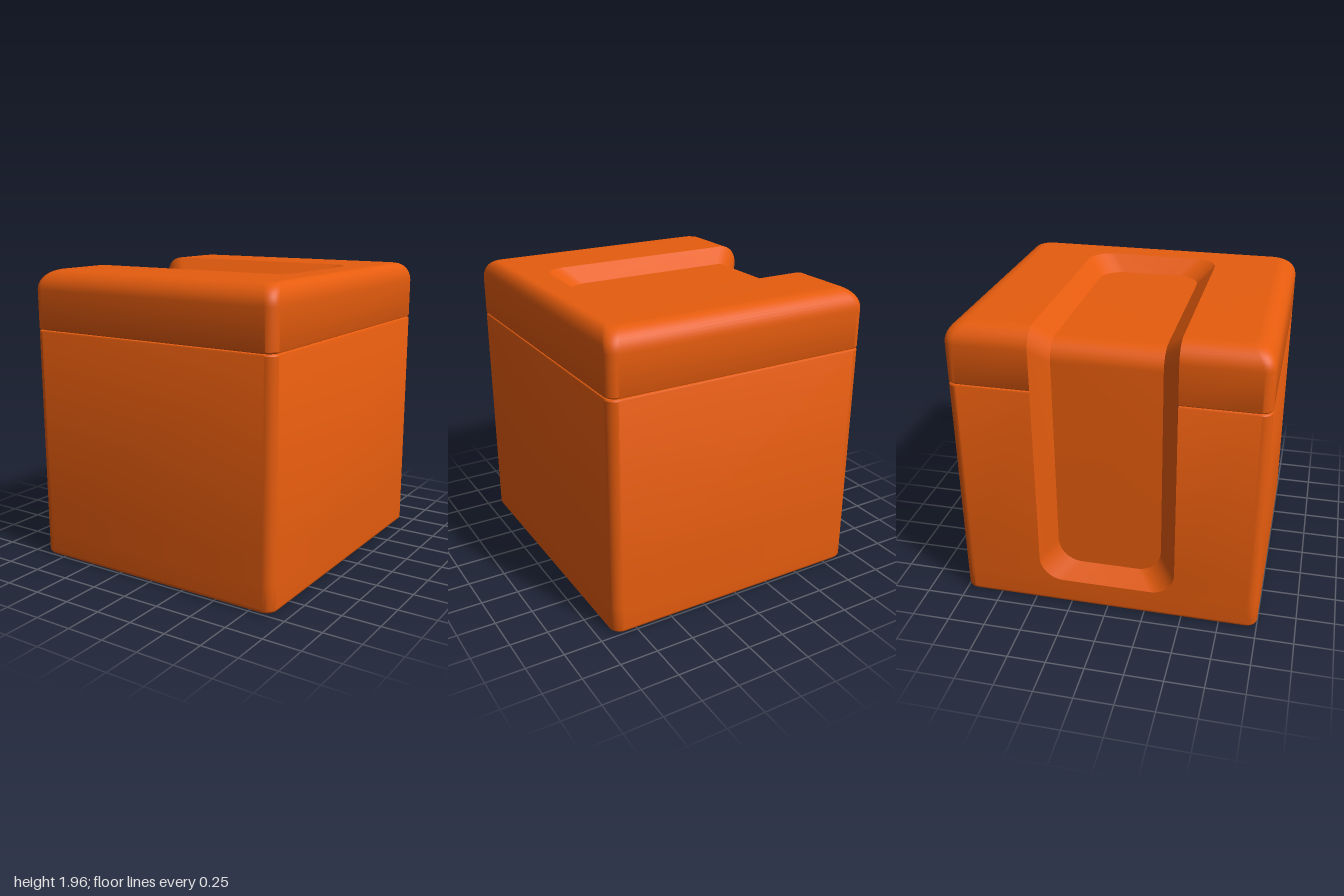
import * as THREE from 'three';
import { toCreasedNormals, mergeGeometries } from 'three/addons/utils/BufferGeometryUtils.js';

const X = 0.91, Z = 1, TOP = 1.96, SEAM = 1.568, CORNER = 0.07;
const ZC = -0.005;   // centre line of the recess
const N = 10;        // segments per quarter round
const steps = Array.from({ length: N + 1 }, (_, i) => (i / N) * Math.PI / 2);
const V = (x, y, z) => new THREE.Vector3(x, y, z);

// Skin between successive point rows of equal length
function loft(rows, closed = false) {
  const n = rows[0].length, pos = rows.flat().flatMap(p => [p.x, p.y, p.z]), index = [];
  for (let r = 0; r < rows.length - 1; r++) {
    for (let i = 0; i < (closed ? n : n - 1); i++) {
      const j = (i + 1) % n, a = r * n + i, b = r * n + j;
      index.push(a, b, b + n, a, b + n, a + n);
    }
  }
  const geo = new THREE.BufferGeometry();
  geo.setAttribute('position', new THREE.Float32BufferAttribute(pos, 3));
  geo.setIndex(index);
  return geo;
}

// Horizontal section of the block, left open by half width hw on the -x side
function section(y, hw, inX0 = 0, inX1 = inX0, inZ = inX0) {
  const x0 = -X + inX0, x1 = X - inX1, z1 = Z - inZ, r = CORNER;
  const pts = [V(x0, y, ZC + hw)];
  const corners = [[x0 + r, z1 - r], [x1 - r, z1 - r], [x1 - r, r - z1], [x0 + r, r - z1]];
  corners.forEach(([cx, cz], k) => {
    for (const s of steps) {
      const a = Math.PI - k * Math.PI / 2 - s;
      pts.push(V(cx + r * Math.cos(a), y, cz + r * Math.sin(a)));
    }
  });
  pts.push(V(x0, y, ZC - hw));
  return pts;
}

// Half outline of the recess: along the top, over the edge and down the -x side
function rail(half, top, x0, xEnd, yEnd, r = 0.16, edge = 0.13) {
  const end = steps.map(a => V(xEnd - r + r * Math.cos(a), top, half - r + r * Math.sin(a)));
  const over = steps.map(a => V(x0 + edge * (1 - Math.sin(a)), top - edge * (1 - Math.cos(a)), half));
  const foot = steps.map(a => V(x0, yEnd + r * (1 - Math.sin(a)), half - r + r * Math.cos(a)));
  return { end, over, foot, all: [...end, ...over, ...foot] };
}
const side = (pts, s) => pts.map(p => V(p.x, p.y, ZC + s * p.z));
const ring = pts => [...side(pts, 1), ...side(pts, -1).reverse()];

// Flat horizontal face through an outline, facing up (dir 1) or down (dir -1)
function cap(pts, dir) {
  const shape = new THREE.Shape(pts.map(p => new THREE.Vector2(p.x, -dir * p.z)));
  return new THREE.ShapeGeometry(shape).rotateX(-dir * Math.PI / 2).translate(0, pts[0].y, 0);
}

export function createModel() {
  const group = new THREE.Group();
  const material = new THREE.MeshStandardMaterial({ color: 0xe65c0e });
  const add = (name, geos) => {
    const parts = geos.map(g => {
      const p = g.toNonIndexed();
      p.deleteAttribute('uv');
      p.deleteAttribute('normal');
      return p;
    });
    const mesh = new THREE.Mesh(toCreasedNormals(mergeGeometries(parts), 0.5), material);
    mesh.name = name;
    group.add(mesh);
  };

  const HALF = 0.455;
  const outer = rail(HALF, TOP, -X, 0.67, 0.18);
  const inner = rail(0.348, TOP - 0.1, -X + 0.1, 0.56, 0.28);

  // Body: softened base, sides following the recess foot, shallow seam at the top
  const base = steps.map(a => section(0.03 * (1 - Math.cos(a)), 0, 0.03 * (1 - Math.sin(a))));
  const foot = [...outer.foot].reverse().map(p => section(p.y, p.z));
  const body = [...base, section(0.18, 0), ...foot,
    section(SEAM - 0.012, HALF), section(SEAM - 0.004, HALF, 0.004), section(SEAM, HALF, 0.015)];
  add('body', [loft(body), cap(base[0], -1)]);

  // Lid: rounded upper edges and a flat top with the recess cut out
  const round = [...outer.over].reverse().map((p, i) => {
    const f = 1 - Math.sin(steps[N - i]);
    return section(p.y, HALF, 0.13 * f, 0.08 * f, 0.13 * f);
  });
  const lid = [section(SEAM, HALF, 0.015), section(SEAM + 0.004, HALF, 0.004),
    section(SEAM + 0.012, HALF), ...round];
  const cut = [...side(outer.end, -1).reverse(), ...side(outer.end, 1)];
  add('lid', [loft(lid), cap([...round[N], ...cut], 1)]);

  // Recess: sloped wall all round and a floor bending over the edge
  add('recessWall', [loft([ring(inner.all), ring(outer.all)], true)]);
  add('recessFloor', [loft([side(inner.all, -1), side(inner.all, 1)])]);
  return group;
}
